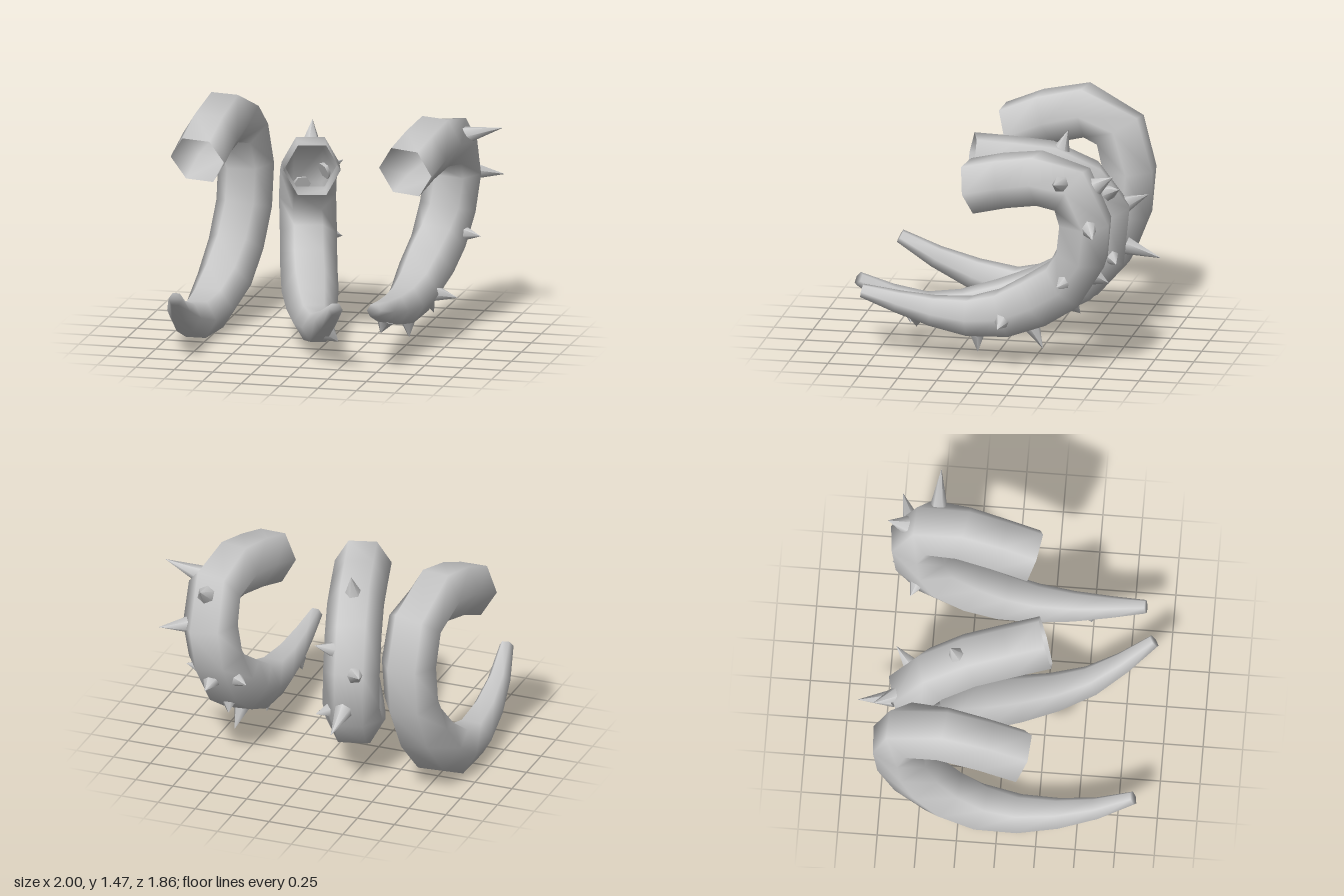
import * as THREE from 'three';

const SIDES = 6;
const STATIONS = 13;
const material = new THREE.MeshStandardMaterial({ color: 0xcccccc, side: THREE.DoubleSide });
const vec = (p) => new THREE.Vector3(...p);

// Constant thickness along the hook, then an even taper to the tip.
const radiusAt = (t) => THREE.MathUtils.mapLinear(Math.max(t, 0.61), 0.61, 1, 0.18, 0.045);

// Hexagonal tube along the curve; side is the lateral axis its corners point to.
function hornGeometry(curve, side) {
  const positions = [], index = [];
  for (let i = 0; i < STATIONS; i++) {
    const t = i / (STATIONS - 1);
    const centre = curve.getPointAt(t);
    const tangent = curve.getTangentAt(t);
    const u = side.clone().projectOnPlane(tangent).normalize();
    const v = tangent.clone().cross(u);
    for (let k = 0; k < SIDES; k++) {
      const a = (k / SIDES) * Math.PI * 2;
      const p = centre.clone()
        .addScaledVector(u, Math.cos(a) * radiusAt(t))
        .addScaledVector(v, Math.sin(a) * radiusAt(t));
      positions.push(p.x, p.y, p.z);
      if (i < STATIONS - 1) {
        const here = i * SIDES + k, next = i * SIDES + ((k + 1) % SIDES);
        index.push(here, next, here + SIDES, next, next + SIDES, here + SIDES);
      }
    }
  }
  // close the narrow tip, leave the wide root open
  const last = (STATIONS - 1) * SIDES;
  for (let k = 1; k < SIDES - 1; k++) index.push(last, last + k, last + k + 1);
  const geometry = new THREE.BufferGeometry();
  geometry.setAttribute('position', new THREE.Float32BufferAttribute(positions, 3));
  geometry.setIndex(index);
  geometry.computeVertexNormals();
  return geometry;
}

// Cone that grows out of the skin, away from the nearest point of the curve.
function makeSpike(curve, tip) {
  const samples = curve.getSpacedPoints(100);
  const distances = samples.map((p) => p.distanceTo(tip));
  const nearest = distances.indexOf(Math.min(...distances));
  const dir = tip.clone().sub(samples[nearest]).normalize();
  const base = samples[nearest].clone().addScaledVector(dir, radiusAt(nearest / 100) * 0.7);
  const spike = new THREE.Mesh(new THREE.ConeGeometry(0.058, base.distanceTo(tip), SIDES), material);
  spike.position.copy(base).lerp(tip, 0.5);
  spike.quaternion.setFromUnitVectors(new THREE.Vector3(0, 1, 0), dir);
  spike.name = 'spike';
  return spike;
}

function makeHorn(name, side, path, tips) {
  const curve = new THREE.CatmullRomCurve3(path.map(vec));
  const horn = new THREE.Group();
  horn.name = name;
  const body = new THREE.Mesh(hornGeometry(curve, vec(side)), material);
  body.name = 'hornBody';
  horn.add(body, ...tips.map((tip) => makeSpike(curve, vec(tip))));
  return horn;
}

export function createModel() {
  const model = new THREE.Group();
  model.name = 'hornSet';

  // plain horn on the right
  const smoothPath = [
    [-0.82, 1.19, 0.14], [-0.79, 1.32, -0.18], [-0.76, 1.35, -0.42],
    [-0.72, 1.23, -0.59], [-0.71, 0.8, -0.63], [-0.76, 0.37, -0.42],
    [-0.82, 0.15, -0.02], [-0.83, 0.27, 0.5], [-0.78, 0.46, 0.85],
  ];
  model.add(makeHorn('smoothHorn', [1, 0, -0.05], smoothPath, []));

  // turned horn in the middle
  const middlePath = [
    [-0.05, 1.195, 0.24], [-0.21, 1.1, -0.32], [-0.28, 0.91, -0.53],
    [-0.29, 0.68, -0.59], [-0.22, 0.38, -0.34], [0, 0.22, 0.36],
    [0.1, 0.28, 0.6], [0.275, 0.47, 0.9],
  ];
  const middleTips = [
    [-0.2, 1.38, -0.35], [-0.44, 0.92, -0.82], [-0.29, 0.55, -0.93],
    [-0.09, 1.04, -0.7], [-0.09, 0.55, -0.68], [0.21, 0.18, 0.58], [-0.14, 0.11, -0.06],
  ];
  model.add(makeHorn('middleHorn', [0.97, 0, -0.25], middlePath, middleTips));

  // thickly spiked horn on the left
  const spikedPath = [
    [0.525, 1.19, 0.12], [0.59, 1.28, -0.25], [0.63, 1.28, -0.46],
    [0.65, 1.17, -0.61], [0.6, 0.7, -0.57], [0.56, 0.5, -0.34],
    [0.53, 0.35, 0], [0.51, 0.355, 0.37], [0.505, 0.46, 0.83],
  ];
  const spikedTips = [
    [1.0, 1.36, -0.5], [0.95, 1.0, -0.74], [0.86, 0.65, -0.49], [0.81, 0.34, -0.1],
    [0.64, 1.33, -0.81], [0.39, 0.65, -0.65], [0.62, 0.63, -0.78],
    [0.54, 0.4, -0.58], [0.59, 0.17, -0.35], [0.54, 0.11, 0.08], [0.46, 0.23, 0.49],
  ];
  model.add(makeHorn('spikedHorn', [1, 0, -0.1], spikedPath, spikedTips));
  return model;
}
